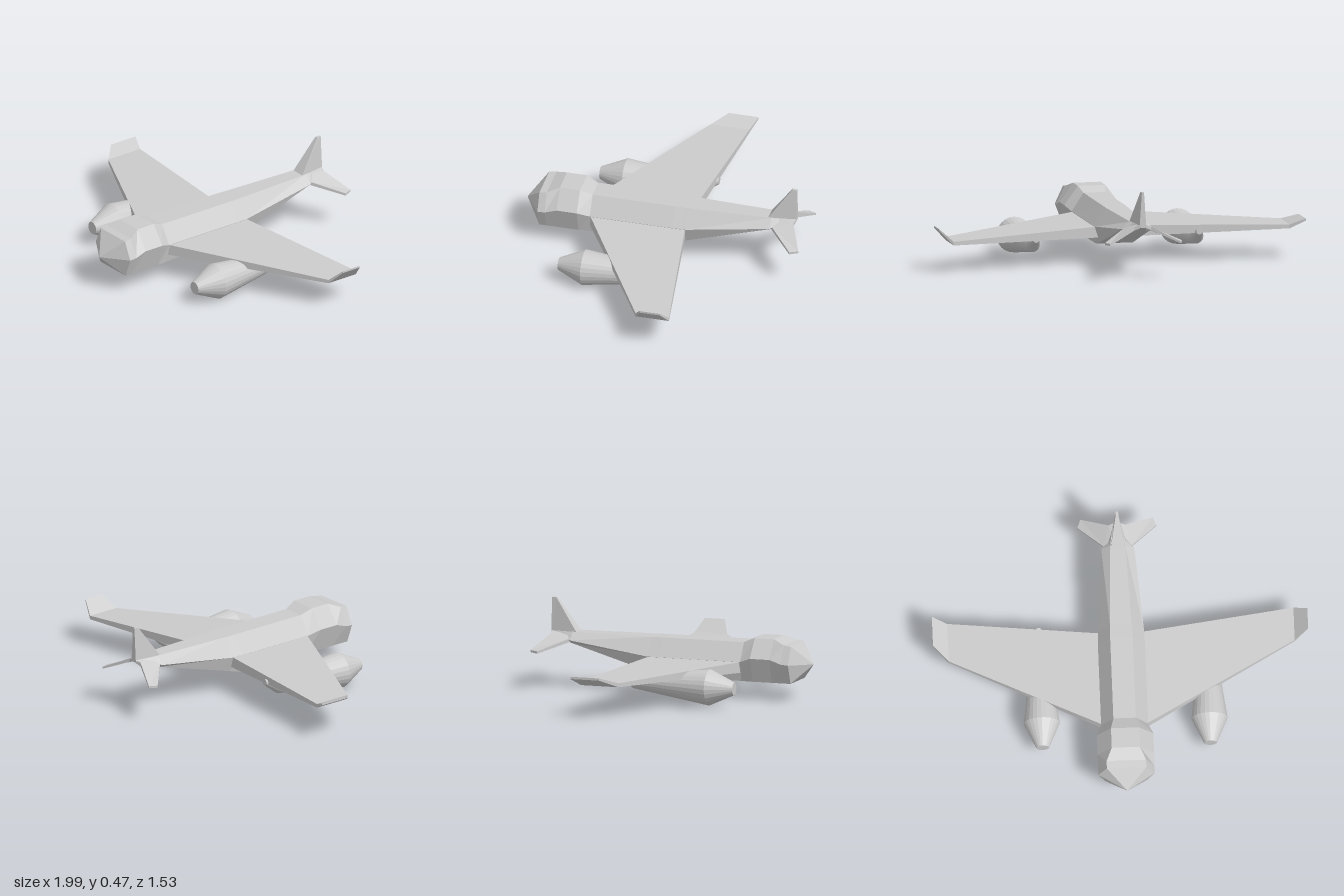
import * as THREE from 'three';

const material = new THREE.MeshStandardMaterial({ color: 0xcccccc, flatShading: true });

// Closed solid through rings of [x, y, z] points, with fan caps; faces always point outward.
function loft(name, rings) {
  const n = rings[0].length;
  const tris = [];
  for (let i = 0; i < rings.length - 1; i++) {
    for (let j = 0; j < n; j++) {
      const k = (j + 1) % n;
      const a = rings[i][j], b = rings[i][k], c = rings[i + 1][k], d = rings[i + 1][j];
      tris.push([a, d, c], [a, c, b]);
    }
  }
  const first = rings[0], last = rings[rings.length - 1];
  for (let j = 1; j < n - 1; j++) {
    tris.push([first[0], first[j], first[j + 1]], [last[0], last[j + 1], last[j]]);
  }
  // Signed volume tells which way the corners run
  const v = (p) => new THREE.Vector3(...p);
  let volume = 0;
  for (const [a, b, c] of tris) volume += v(a).dot(v(b).cross(v(c)));
  if (volume < 0) tris.forEach((t) => t.reverse());

  const geometry = new THREE.BufferGeometry();
  geometry.setAttribute('position', new THREE.Float32BufferAttribute(tris.flat(2), 3));
  geometry.computeVertexNormals();
  const mesh = new THREE.Mesh(geometry, material);
  mesh.name = name;
  return mesh;
}

// Six-sided hull section: half width and height of the bottom, middle and top edges
const hullRing = ([z, bw, by, mw, my, tw, ty]) => [
  [bw, by, z], [mw, my, z], [tw, ty, z], [-tw, ty, z], [-mw, my, z], [-bw, by, z],
];

// Fuselage: pointed nose, wide cabin, straight body and rising tail
function fuselage() {
  return loft('fuselage', [
    [0.765, 0.002, 0.188, 0.003, 0.19, 0.002, 0.192],
    [0.675, 0.11, 0.096, 0.15, 0.2, 0.105, 0.295],
    [0.635, 0.11, 0.096, 0.15, 0.203, 0.105, 0.3],
    [0.57, 0.11, 0.096, 0.15, 0.225, 0.075, 0.325],
    [0.46, 0.11, 0.096, 0.15, 0.225, 0.075, 0.325],
    [0.395, 0.105, 0.096, 0.125, 0.2, 0.06, 0.298],
    [-0.06, 0.1, 0.097, 0.125, 0.2, 0.06, 0.297],
    [-0.13, 0.095, 0.116, 0.123, 0.2, 0.058, 0.296],
    [-0.58, 0.06, 0.238, 0.088, 0.256, 0.04, 0.295],
    [-0.62, 0.04, 0.247, 0.055, 0.265, 0.035, 0.294],
    [-0.71, 0.012, 0.28, 0.022, 0.287, 0.018, 0.294],
  ].map(hullRing));
}

// Wing station: x, leading and trailing z, top and bottom y
const wingRing = ([x, lead, trail, top, bottom]) => [
  [x, bottom, trail], [x, bottom, lead], [x, top, lead], [x, top, trail],
];

// Engine pod: rings of z, radius and centre height
function engine(name, x, lift) {
  const sides = 24;
  const rings = [[0.478, 0.034, 0.097], [0.34, 0.096, 0.097], [-0.09, 0.04, 0.11], [-0.172, 0.018, 0.15]];
  return loft(name, rings.map(([z, r, y]) => Array.from({ length: sides }, (_, i) => {
    const a = (i / sides) * Math.PI * 2;
    return [x + r * Math.cos(a), y + lift + r * Math.sin(a), z];
  })));
}

// Swept tailplane, drooping to a thin tip
function tailplane(name, side) {
  return loft(name, [
    [[0.015, 0.252, -0.57], [0.015, 0.29, -0.57], [0.015, 0.294, -0.71], [0.015, 0.278, -0.71]],
    [[0.075, 0.243, -0.59], [0.075, 0.262, -0.59], [0.045, 0.285, -0.7], [0.045, 0.265, -0.7]],
    [[0.21, 0.195, -0.72], [0.21, 0.208, -0.72], [0.192, 0.21, -0.765], [0.192, 0.199, -0.765]],
  ].map((ring) => ring.map(([x, y, z]) => [side * x, y, z])));
}

export function createModel() {
  const group = new THREE.Group();
  group.name = 'aeroplane';
  group.add(fuselage());

  // Wings with upturned tips; the two differ slightly in sweep and dihedral
  group.add(loft('leftWing', [
    [0.08, 0.415, -0.12, 0.2, 0.14],
    [0.92, -0.06, -0.243, 0.166, 0.146],
    [0.993, -0.1, -0.213, 0.232, 0.222],
  ].map(wingRing)));
  group.add(loft('rightWing', [
    [-0.08, 0.41, -0.12, 0.2, 0.14],
    [-0.92, 0.0, -0.212, 0.186, 0.165],
    [-1.0, -0.08, -0.243, 0.22, 0.208],
  ].map(wingRing)));

  group.add(engine('leftEngine', 0.453, 0));
  group.add(engine('rightEngine', -0.438, 0.012));

  group.add(tailplane('leftTailplane', 1));
  group.add(tailplane('rightTailplane', -1));

  // Tail fin with a flat leading face
  group.add(loft('tailFin', [
    [[0.04, 0.285, -0.555], [0.018, 0.285, -0.71], [-0.018, 0.285, -0.71], [-0.04, 0.285, -0.555]],
    [[0.008, 0.47, -0.685], [0.006, 0.47, -0.71], [-0.006, 0.47, -0.71], [-0.008, 0.47, -0.685]],
  ]));
  return group;
}
